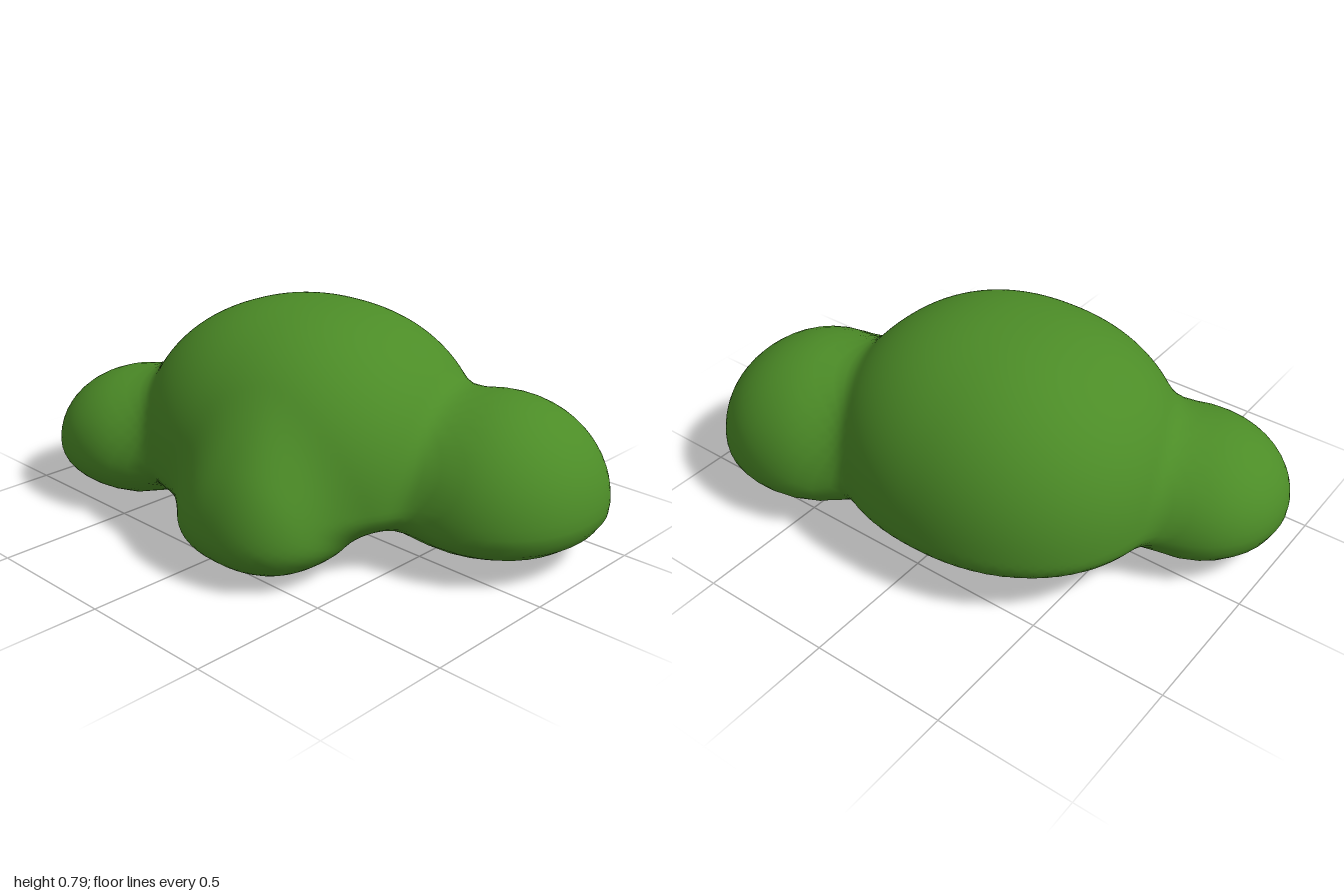
import * as THREE from 'three';
import { mergeVertices } from 'three/addons/utils/BufferGeometryUtils.js';

// Rounded lobes: centre (at the widest level), half sizes, heights above and below,
// and how full the plan outline and the upper profile are (2 = ellipse)
const lobes = [
  { c: [-0.06, 0.23, -0.04], rx: 0.635, rz: 0.575, up: 0.56, down: 0.18, plan: 2.2, crown: 2.2 }, // main dome
  { c: [0.61, 0.19, -0.26], rx: 0.39, rz: 0.39, up: 0.365, down: 0.16, plan: 2.1, crown: 2 },     // left lobe
  { c: [0.135, 0.16, 0.37], rx: 0.3, rz: 0.28, up: 0.36, down: 0.16, plan: 2.4, crown: 1.75 },    // front lobe
  { c: [-0.65, 0.19, 0.24], rx: 0.35, rz: 0.33, up: 0.28, down: 0.17, plan: 2.1, crown: 2 },      // right lobe
];
const BELLY = 2.1; // fullness of the underside
const BLEND = 0.08;

// Approximate signed distance to one lobe
function lobeDistance({ c, rx, rz, up, down, plan, crown }, p) {
  const dy = p.y - c[1];
  const power = dy > 0 ? crown : BELLY;
  const flat = Math.abs((p.x - c[0]) / rx) ** plan + Math.abs((p.z - c[2]) / rz) ** plan;
  const sum = flat ** (power / plan) + Math.abs(dy / (dy > 0 ? up : down)) ** power;
  return (sum ** (1 / power) - 1) * Math.min(rx, rz);
}

// Soft union, so that the lobes run into each other
function softMin(a, b) {
  const h = Math.max(BLEND - Math.abs(a - b), 0) / BLEND;
  return Math.min(a, b) - h * h * BLEND / 4;
}
const distance = (p) => lobes.map((l) => lobeDistance(l, p)).reduce(softMin);

export function createModel() {
  const group = new THREE.Group();
  group.name = 'bush';

  // A sphere whose vertices are pushed out along rays to the blended surface
  let geometry = new THREE.IcosahedronGeometry(1, 26);
  geometry.deleteAttribute('uv');
  geometry.deleteAttribute('normal');
  geometry = mergeVertices(geometry, 1e-4);

  const centre = new THREE.Vector3(-0.02, 0.2, 0);
  const pos = geometry.attributes.position;
  const dir = new THREE.Vector3();
  const p = new THREE.Vector3();
  for (let i = 0; i < pos.count; i++) {
    dir.fromBufferAttribute(pos, i).normalize();
    // step inwards to the outermost surface, then refine
    let lo = 1.3;
    while (lo > 0.02 && distance(p.copy(centre).addScaledVector(dir, lo)) > 0) lo -= 0.02;
    let hi = lo + 0.02;
    for (let k = 0; k < 10; k++) {
      const mid = (lo + hi) / 2;
      if (distance(p.copy(centre).addScaledVector(dir, mid)) > 0) hi = mid;
      else lo = mid;
    }
    p.copy(centre).addScaledVector(dir, lo);
    pos.setXYZ(i, p.x, p.y, p.z);
  }
  geometry.computeVertexNormals();

  const foliage = new THREE.Mesh(geometry, new THREE.MeshStandardMaterial({ color: 0x4c8c27 }));
  foliage.name = 'foliage';
  group.add(foliage);
  return group;
}
